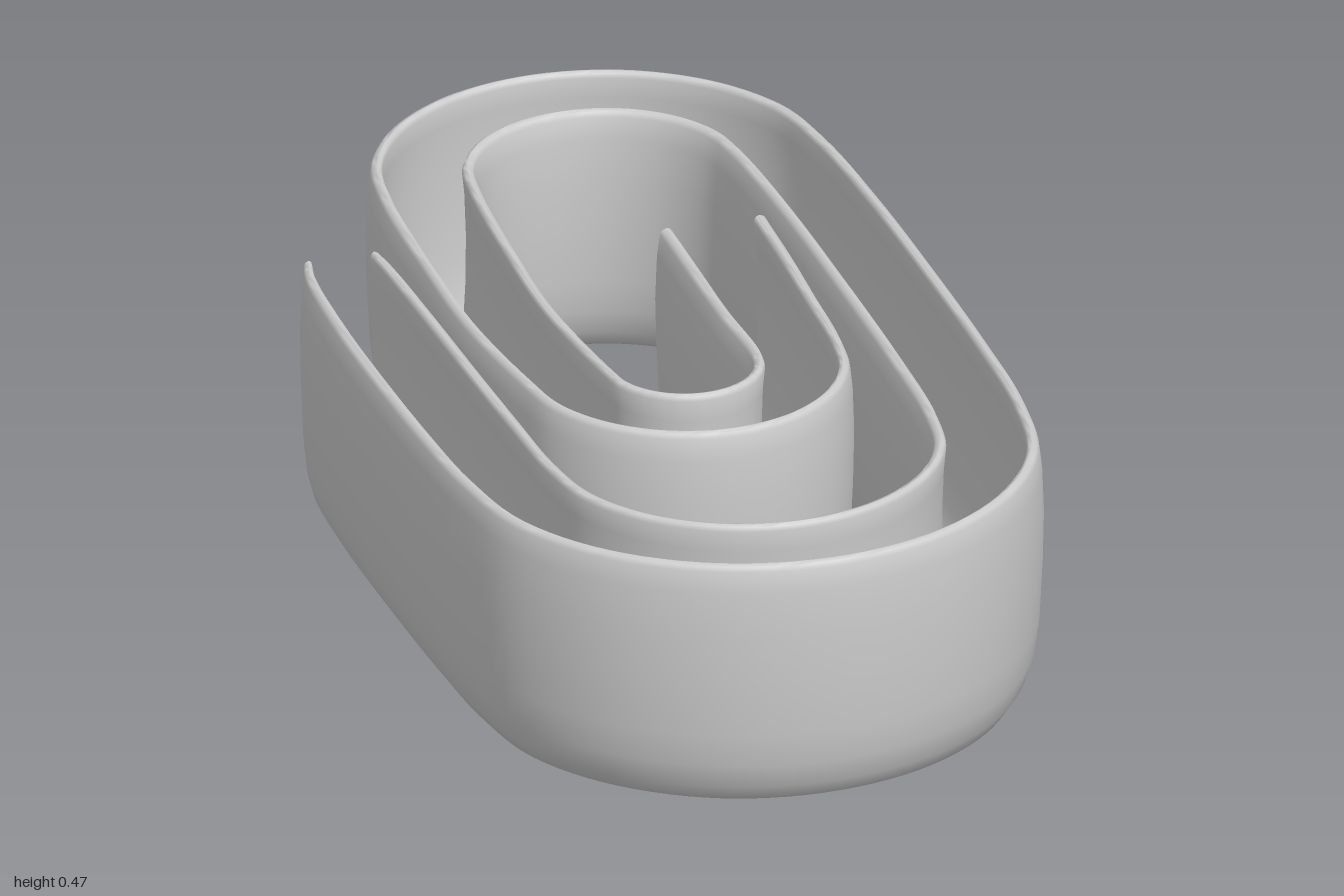
import * as THREE from 'three';
import { toCreasedNormals } from 'three/addons/utils/BufferGeometryUtils.js';

const HALF = 0.1; // half of the nominal channel width

// Half cross-sections [distance from the side, height], rim to middle of the floor
const skinHalf = [
  [0.02, 0.47], [0.012, 0.467], [0.008, 0.459], [0.003, 0.42], [0, 0.34], [0.002, 0.25], [0.007, 0.15],
  [0.015, 0.09], [0.029, 0.045], [0.049, 0.015], [0.073, 0.003], [HALF, 0],
];
const insideHalf = [
  [0.022, 0.47], [0.027, 0.467], [0.03, 0.459], [0.026, 0.42], [0.023, 0.34], [0.024, 0.25], [0.029, 0.15],
  [0.037, 0.095], [0.048, 0.057], [0.062, 0.033], [0.08, 0.022], [HALF, 0.02],
];
const mirror = (half) => [...half, ...half.slice(0, -1).reverse().map(([d, y]) => [2 * HALF - d, y])];

// Paired plan points for the outer and inner edge of the clip
function planEdges() {
  const outer = [], inner = [];
  const straight = (rows) => rows.forEach(([xo, xi, z]) => {
    outer.push(new THREE.Vector3(xo, 0, z));
    inner.push(new THREE.Vector3(xi, 0, z));
  });
  const bend = (start, o, i) => {
    for (let k = 0; k <= 8; k++) {
      const a = start + (k / 8) * Math.PI;
      const at = ([cx, cz, rx, rz]) => new THREE.Vector3(cx - rx * Math.cos(a), 0, cz + rz * Math.sin(a));
      outer.push(at(o));
      inner.push(at(i));
    }
  };
  straight([[-0.5, -0.352, -0.405], [-0.515, -0.345, -0.35], [-0.529, -0.337, -0.15], [-0.53, -0.332, 0.1], [-0.525, -0.327, 0.3]]);
  bend(0, [0, 0.49, 0.513, 0.505], [0, 0.48, 0.32, 0.32]);
  straight([[0.524, 0.33, 0.25], [0.527, 0.334, -0.05], [0.524, 0.334, -0.35]]);
  bend(Math.PI, [0.105, -0.6, 0.405, 0.4], [0.108, -0.6, 0.215, 0.21]);
  straight([[-0.312, -0.127, -0.35], [-0.316, -0.135, -0.1]]);
  bend(0, [0, 0.15, 0.293, 0.31], [0, 0.16, 0.113, 0.115]);
  straight([[0.303, 0.108, 0], [0.314, 0.11, -0.18], [0.32, 0.113, -0.34]]);
  return [outer, inner].map((pts) => new THREE.CatmullRomCurve3(pts));
}

// Sweep the thin U section between the two edges and close both ends of the wall
function channelGeometry() {
  const skin = mirror(skinHalf), inside = mirror(insideHalf);
  const ring = [...skin, ...inside.slice().reverse()];
  const n = skin.length, m = ring.length;
  const [outer, inner] = planEdges();
  const steps = (outer.points.length - 1) * 6;
  const pos = [], index = [];

  for (let s = 0; s <= steps; s++) {
    const o = outer.getPoint(s / steps), i = inner.getPoint(s / steps);
    for (const [d, y] of ring) {
      const p = o.clone().lerp(i, d / (2 * HALF));
      pos.push(p.x, y, p.z);
    }
  }
  for (let s = 0; s < steps; s++) {
    for (let j = 0; j < m; j++) {
      const a = s * m + j, b = s * m + ((j + 1) % m);
      index.push(a, b, a + m, b, b + m, a + m);
    }
  }
  const last = steps * m;
  for (let k = 0; k < n - 1; k++) {
    const a = k, b = k + 1, c = m - 1 - k, d = m - 2 - k;
    index.push(a, c, b, b, c, d);
    index.push(last + a, last + b, last + c, last + b, last + d, last + c);
  }

  const geo = new THREE.BufferGeometry();
  geo.setAttribute('position', new THREE.Float32BufferAttribute(pos, 3));
  geo.setIndex(index);
  return toCreasedNormals(geo, 0.8);
}

export function createModel() {
  const group = new THREE.Group();
  group.name = 'paperClipTray';
  const channel = new THREE.Mesh(channelGeometry(), new THREE.MeshStandardMaterial({ color: 0xcccccc }));
  channel.name = 'clipChannel';
  group.add(channel);
  return group;
}
